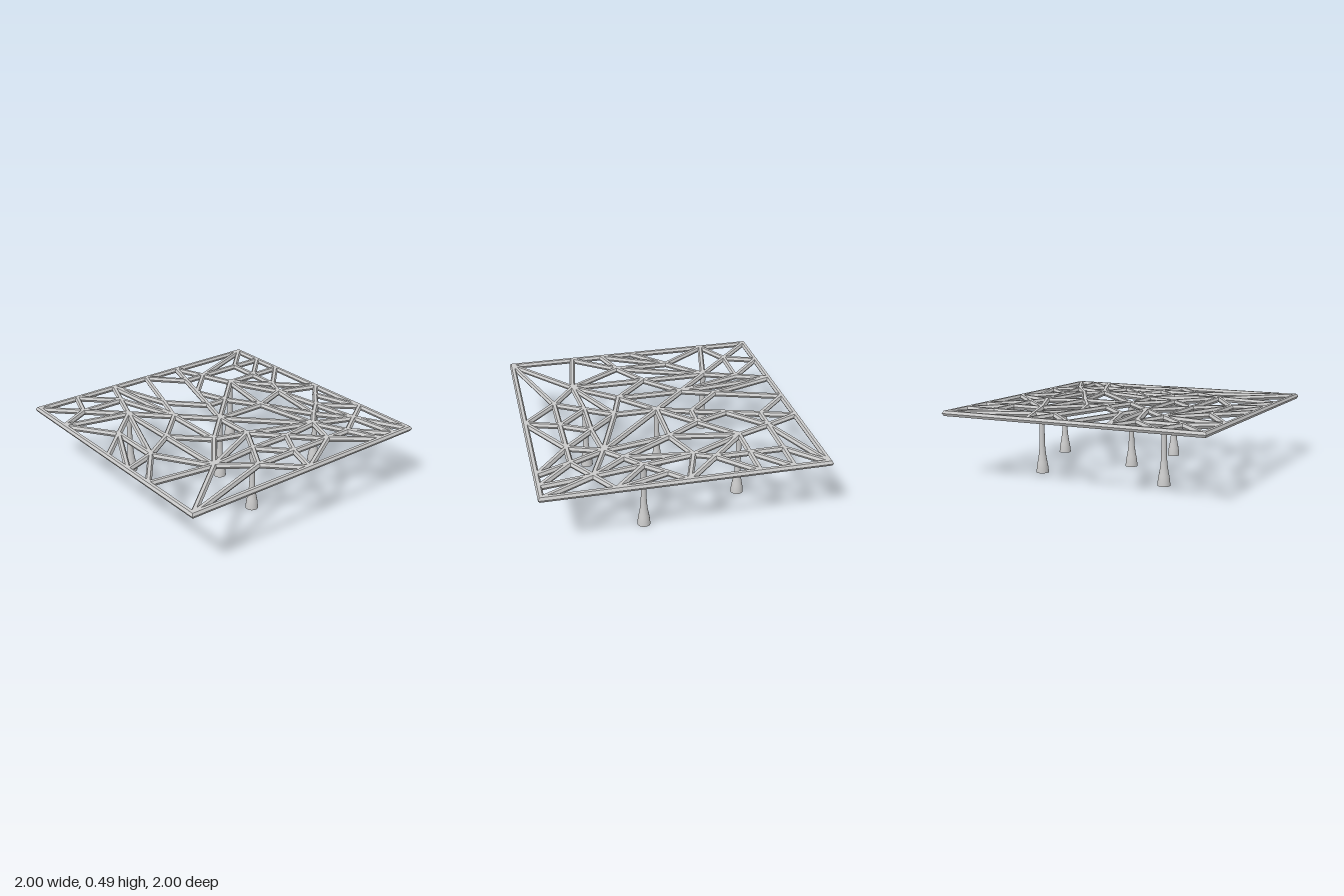
import * as THREE from 'three';

const R = 0.022;   // beam radius (hexagonal section)
const Y = 0.474;   // height of beam axes
const E = 0.978;   // half size of the frame, measured on its axis

// Joints of the lattice as [x, z]: corners, rim joints, then inner joints
const joints = {
  TL: [-E, -E], TR: [E, -E], BL: [-E, E], BR: [E, E],
  t1: [-0.73, -E], t2: [-0.49, -E], t3: [0, -E], t4: [0.49, -E],
  l1: [-E, -0.305], l2: [-E, 0], l3: [-E, 0.31], l4: [-E, 0.65],
  r1: [E, -0.84], r2: [E, -0.7], r3: [E, 0],
  b1: [-0.6, E], b2: [0, E], b3: [0.25, E], b4: [0.49, E],
  A: [-0.735, -0.735], B: [-0.49, -0.735], C: [-0.245, -0.735], D: [-0.105, -0.675],
  E: [0.12, -0.86], F: [0.26, -0.735], G: [0.61, -0.79], H: [0.37, -0.61],
  I: [0.49, -0.49], J: [0.735, -0.6], K: [0.735, -0.4], L: [-0.49, -0.49],
  M: [-0.735, -0.4], N: [0, -0.4], O: [-0.735, -0.23], P: [-0.49, -0.155],
  Q: [-0.245, -0.245], R: [-0.245, -0.08], S: [0, 0], T: [0.32, 0],
  U: [0.525, -0.195], V: [0.525, 0.12], W: [0.735, -0.08], X: [0.735, 0.245],
  Y: [-0.49, 0.16], Z: [-0.245, 0.245], a: [0.245, 0.245], b: [-0.735, 0.4],
  c: [-0.49, 0.49], d: [0, 0.49], e: [0.56, 0.49], f: [-0.735, 0.735],
  g: [-0.245, 0.735], h: [0.165, 0.735],
};

// Each joint followed by the joints it is braced to
const braces = [
  'TL A M', 't1 A B', 't2 B C', 't3 C D E', 't4 E F G', 'TR G',
  'A B M', 'B C L', 'C D L', 'D F L N H', 'E F', 'F G H', 'G H I J r1',
  'H I N', 'I J K N S T U', 'J r1 r2 K', 'K r2 r3 U W', 'L M N Q',
  'M l1 O P', 'N Q S', 'O l1 l2 P', 'P Q R', 'Q R S', 'R S Y',
  'S T Z a', 'T U V a e', 'U V W', 'V W X e', 'W X r3', 'X r3 e BR',
  'Y l2 l3 Z', 'Z l3 a b c d', 'a d e', 'b l3 l4 c f', 'c d f g h b1',
  'd e h', 'e h b4 BR', 'f l4 BL b1', 'g h b1 b2 b3', 'h b3 b4',
];

export function createModel() {
  const model = new THREE.Group();
  const flat = new THREE.MeshStandardMaterial({ color: 0xcccccc, flatShading: true });
  const smooth = new THREE.MeshStandardMaterial({ color: 0xcccccc });

  // Square rim: a hexagon swept round four mitred corners
  const section = [];
  for (let i = 0; i <= 6; i++) {
    const t = (i * Math.PI) / 3;
    section.push(new THREE.Vector2((E + R * Math.cos(t)) * Math.SQRT2, R * Math.sin(t)));
  }
  const rim = new THREE.Mesh(new THREE.LatheGeometry(section, 4, Math.PI / 4), flat);
  rim.name = 'rim';
  rim.position.y = Y;
  model.add(rim);

  // Hexagonal braces between joints, points sideways
  const lattice = new THREE.Group();
  lattice.name = 'lattice';
  const addBrace = ([x0, z0], [x1, z1]) => {
    const dx = x1 - x0, dz = z1 - z0;
    const geo = new THREE.CylinderGeometry(R, R, Math.hypot(dx, dz), 6);
    geo.rotateZ(Math.PI / 2);
    const brace = new THREE.Mesh(geo, flat);
    brace.name = 'brace';
    brace.rotation.y = Math.atan2(-dz, dx);
    brace.position.set((x0 + x1) / 2, Y, (z0 + z1) / 2);
    lattice.add(brace);
  };
  for (const row of braces) {
    const [from, ...to] = row.split(' ');
    for (const end of to) addBrace(joints[from], joints[end]);
  }
  model.add(lattice);

  // Flared columns
  const curve = new THREE.SplineCurve([
    [0.046, 0], [0.041, 0.05], [0.03, 0.11], [0.022, 0.18],
    [0.0195, 0.27], [0.0195, 0.38], [0.023, 0.43], [0.027, 0.465],
  ].map(([x, y]) => new THREE.Vector2(x, y)));
  const shaftGeo = new THREE.LatheGeometry(curve.getPoints(24), 24);
  const footGeo = new THREE.CircleGeometry(0.046, 24).rotateX(Math.PI / 2);
  for (const key of ['L', 'c', 'S', 'F', 'V']) {
    const column = new THREE.Group();
    column.name = 'column';
    const shaft = new THREE.Mesh(shaftGeo, smooth);
    shaft.name = 'shaft';
    const foot = new THREE.Mesh(footGeo, smooth);
    foot.name = 'foot';
    column.add(shaft, foot);
    column.position.set(joints[key][0], 0, joints[key][1]);
    model.add(column);
  }
  return model;
}
